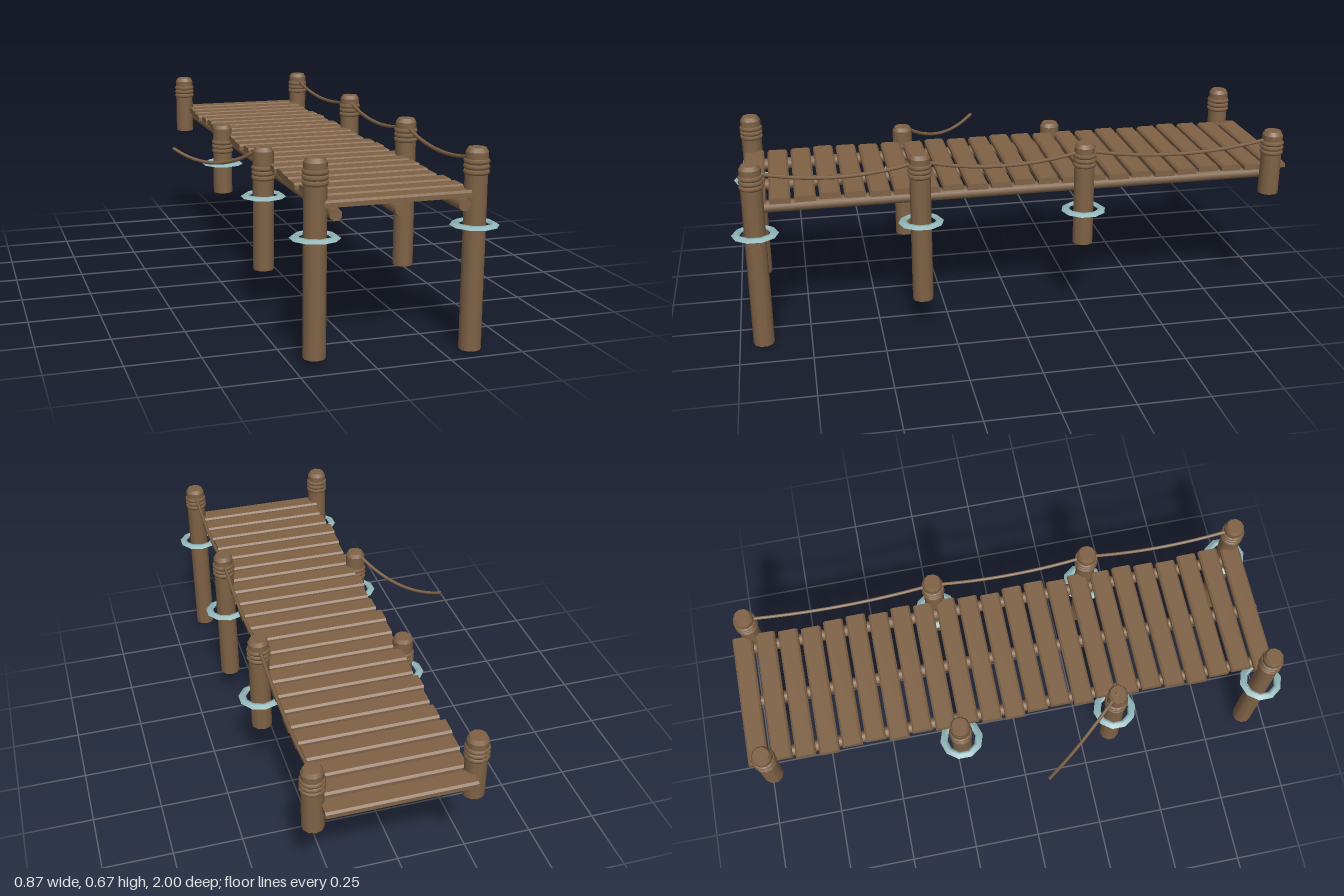
import * as THREE from 'three';

const wood = new THREE.MeshStandardMaterial({ color: 0x7f6246 });
wood.name = 'wood';
const ripple = new THREE.MeshStandardMaterial({ color: 0x93b8ba, side: THREE.DoubleSide });
ripple.name = 'water ripple';

const LEFT_X = -0.18, RIGHT_X = 0.353; // screen sides of the pier

function add(parent, name, geometry, material, x = 0, y = 0, z = 0) {
  const mesh = new THREE.Mesh(geometry, material);
  mesh.name = name;
  mesh.position.set(x, y, z);
  parent.add(mesh);
  return mesh;
}

// Round post with a bevelled top, rope wraps and an optional water ring
function addPost(parent, { x, z, bottom, top, wraps, water }) {
  const post = new THREE.Group();
  post.name = 'post';
  post.position.set(x, 0, z);
  const shaftTop = top - 0.014;
  add(post, 'postShaft', new THREE.CylinderGeometry(0.037, 0.037, shaftTop - bottom, 10), wood, 0, (shaftTop + bottom) / 2);
  add(post, 'postCap', new THREE.CylinderGeometry(0.029, 0.037, 0.014, 10), wood, 0, top - 0.007);
  for (let i = -1; i <= 1; i++) {
    const wrap = add(post, 'ropeWrap', new THREE.TorusGeometry(0.034, 0.009, 6, 12), wood, 0, wraps + i * 0.017);
    wrap.rotation.x = Math.PI / 2;
  }
  if (water) {
    const profile = [[0.052, 0.414], [0.058, 0.425], [0.066, 0.423], [0.08, 0.414]];
    const points = profile.map(([r, y]) => new THREE.Vector2(r, y));
    add(post, 'waterRing', new THREE.LatheGeometry(points, 10), ripple);
  }
  parent.add(post);
}

// Sagging rope between two points
function addRope(parent, name, a, b, sag) {
  const points = [];
  for (let i = 0; i <= 8; i++) {
    const t = i / 8;
    const p = a.clone().lerp(b, t);
    p.y -= sag * 4 * t * (1 - t);
    points.push(p);
  }
  add(parent, name, new THREE.TubeGeometry(new THREE.CatmullRomCurve3(points), 16, 0.0065, 6), wood);
}

// Board running along x with bevelled upper edges
function plankGeometry(length, width) {
  const h = width / 2, s = new THREE.Shape();
  s.moveTo(-h, 0);
  s.lineTo(h, 0);
  s.lineTo(h, 0.015);
  s.lineTo(h - 0.007, 0.022);
  s.lineTo(-h + 0.007, 0.022);
  s.lineTo(-h, 0.015);
  const g = new THREE.ExtrudeGeometry(s, { depth: length, bevelEnabled: false });
  g.translate(0, 0, -length / 2);
  return g.rotateY(Math.PI / 2);
}

export function createModel() {
  const pier = new THREE.Group();
  pier.name = 'pier';

  // Posts
  const rows = [
    { z: 0.917, right: [0, 0.665, 0.605], left: [0.028, 0.665, 0.605], water: true },
    { z: 0.35, right: [0.12, 0.665, 0.605], left: [0.15, 0.59, 0.5], water: true },
    { z: -0.232, right: [0.29, 0.665, 0.605], left: [0.3, 0.57, 0.485], water: true },
    { z: -0.93, right: [0.43, 0.665, 0.605], left: [0.43, 0.665, 0.605], water: false },
  ];
  for (const { z, right, left, water } of rows) {
    for (const [x, [bottom, top, wraps]] of [[RIGHT_X, right], [LEFT_X, left]]) {
      addPost(pier, { x, z, bottom, top, wraps, water });
    }
  }

  // Deck planks with slightly uneven ends
  const plank = plankGeometry(0.497, 0.073);
  const shifts = [0, 0.004, -0.003, -0.009, 0.003, 0.007, -0.004, 0.006];
  for (let i = 0; i < 23; i++) {
    add(pier, 'plank', plank, wood, 0.083 + shifts[i % 8], 0.512, -0.963 + i * 0.0852);
  }

  // Long beams under the deck
  for (const x of [-0.126, 0.086, 0.3]) {
    const beam = add(pier, 'beam', new THREE.CylinderGeometry(0.021, 0.021, 1.885, 8), wood, x, 0.491, 0.012);
    beam.rotation.set(Math.PI / 2, Math.PI / 8, 0);
  }

  // Handrail rope along one side
  for (let i = 0; i < 3; i++) {
    addRope(pier, 'railRope',
      new THREE.Vector3(RIGHT_X, 0.637, rows[i].z),
      new THREE.Vector3(RIGHT_X, 0.637, rows[i + 1].z), 0.037);
  }

  // Loose mooring rope
  addRope(pier, 'mooringRope',
    new THREE.Vector3(LEFT_X, 0.592, 0.35),
    new THREE.Vector3(-0.432, 0.54, 0.04), 0.057);

  return pier;
}
